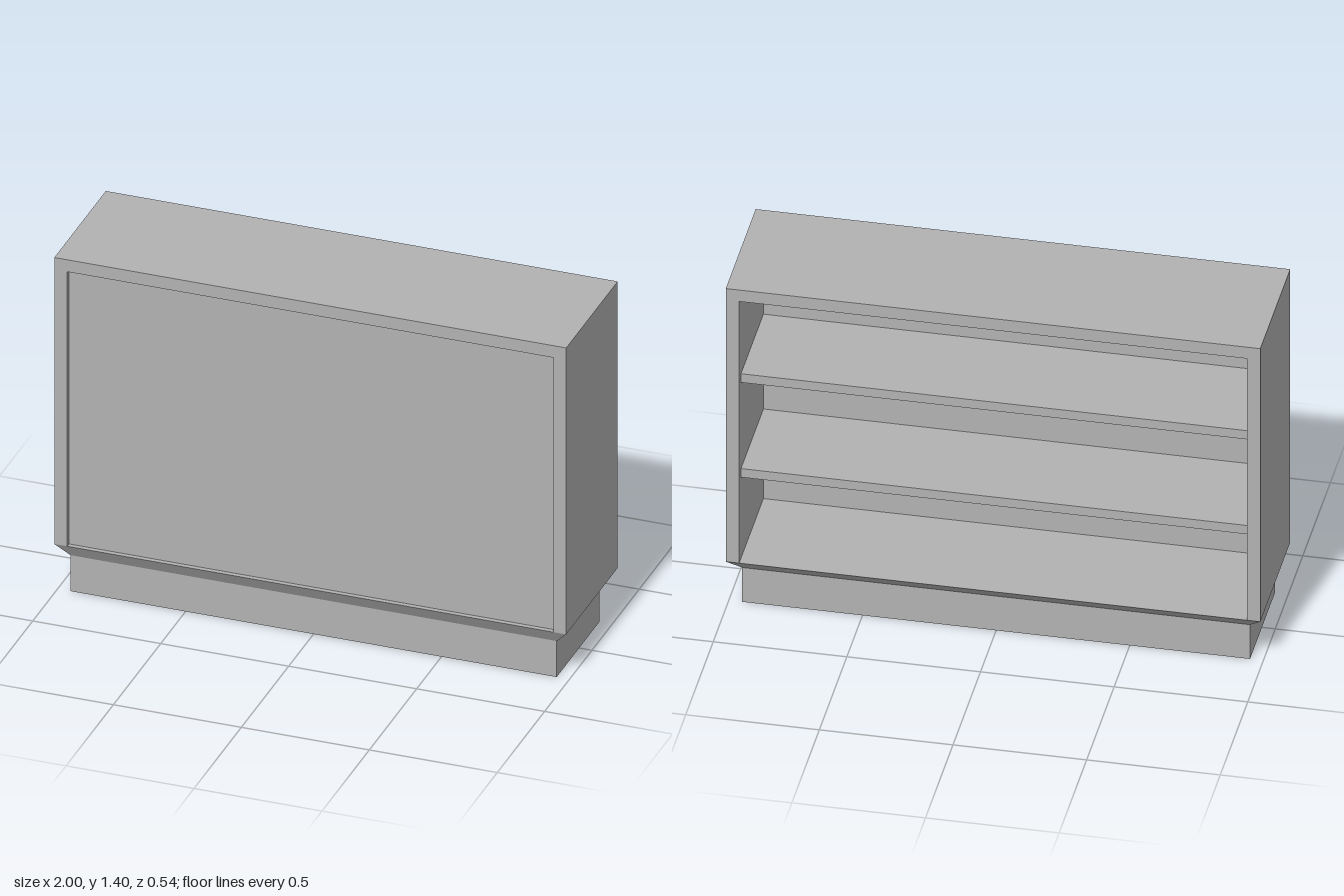
import * as THREE from 'three';

const WALL = 0.05, FLOOR = 0.205, PLINTH = 0.15, TOP = 1.4;
const FRONT = 0.272, BACK = -0.272;

export function createModel() {
  const model = new THREE.Group();
  model.name = 'shelfCounter';
  const grey = new THREE.MeshStandardMaterial({ color: 0xb2b2b2 });
  grey.name = 'grey';

  const add = (name, geometry) => {
    const mesh = new THREE.Mesh(geometry, grey);
    mesh.name = name;
    model.add(mesh);
  };
  // Box given by its half width and its y and z limits
  const box = (halfX, y0, y1, z0, z1) =>
    new THREE.BoxGeometry(2 * halfX, y1 - y0, z1 - z0)
      .translate(0, (y0 + y1) / 2, (z0 + z1) / 2);

  const inner = 1 - WALL;
  const baseBack = -0.216, baseFront = 0.237;

  // Plinth
  add('plinth', box(inner, 0, PLINTH, baseBack, baseFront));

  // Flared floor slab: its lower corners are pulled in to the plinth
  const slab = box(1, PLINTH, FLOOR, BACK, FRONT).toNonIndexed();
  const p = slab.attributes.position;
  for (let i = 0; i < p.count; i++) {
    if (p.getY(i) < (PLINTH + FLOOR) / 2) {
      p.setX(i, Math.sign(p.getX(i)) * inner);
      p.setZ(i, p.getZ(i) > 0 ? baseFront : baseBack);
    }
  }
  slab.computeVertexNormals();
  add('flaredFloor', slab);

  // Carcass: two sides and a top as one upturned U
  const u = new THREE.Shape([
    [-1, FLOOR], [-inner, FLOOR], [-inner, TOP - WALL], [inner, TOP - WALL],
    [inner, FLOOR], [1, FLOOR], [1, TOP], [-1, TOP],
  ].map(([x, y]) => new THREE.Vector2(x, y)));
  add('carcass', new THREE.ExtrudeGeometry(u, { depth: FRONT - BACK, bevelEnabled: false })
    .translate(0, 0, BACK));

  // Recessed front panel
  const panelBack = 0.17;
  add('frontPanel', box(inner, FLOOR, TOP - WALL, panelBack, 0.253));

  // Shelves, open to the back
  for (const [name, top] of [['lowerShelf', 0.597], ['upperShelf', 1.012]]) {
    add(name, box(inner, top - 0.038, top, BACK + 0.034, panelBack));
  }
  return model;
}
